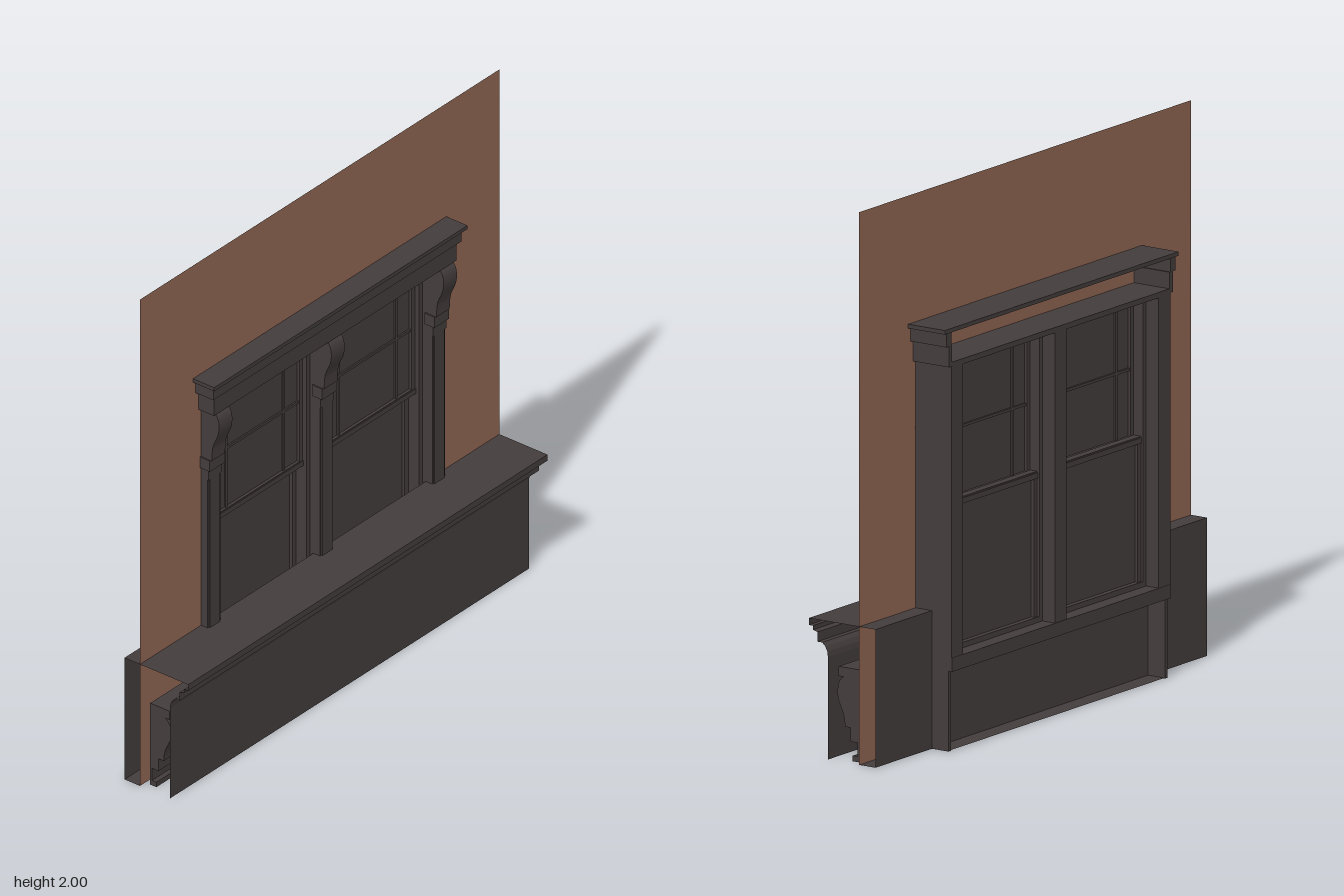
import * as THREE from 'three';

export function createModel() {
  const root = new THREE.Group();
  const trim = new THREE.MeshStandardMaterial({ name: 'dark trim', color: 0x443c3c, side: THREE.DoubleSide });
  const plaster = new THREE.MeshStandardMaterial({ name: 'brown wall', color: 0x906653, side: THREE.DoubleSide });

  const add = (name, geo, mat = trim) => {
    const m = new THREE.Mesh(geo, mat);
    m.name = name;
    root.add(m);
    return m;
  };
  // Box given by its limits on each axis
  const box = (name, x0, x1, y0, y1, z0, z1) =>
    add(name, new THREE.BoxGeometry(x1 - x0, y1 - y0, z1 - z0))
      .position.set((x0 + x1) / 2, (y0 + y1) / 2, (z0 + z1) / 2);
  // Solid side profile of [z, y] points, run along x
  const profile = (name, shape, x0, x1) => {
    const geo = new THREE.ExtrudeGeometry(shape, { depth: x1 - x0, bevelEnabled: false, curveSegments: 10 });
    geo.rotateY(-Math.PI / 2);
    geo.scale(1, 1, 1);
    // rotateY(-90) sends shape x to +z and depth to -x
    geo.translate(x1, 0, 0);
    return add(name, geo);
  };

  // Wall sheet with the window opening
  const wall = new THREE.Shape([[-1, 0], [1, 0], [1, 2], [-1, 2]].map(p => new THREE.Vector2(...p)));
  wall.holes.push(new THREE.Path([[-0.62, 0.32], [-0.62, 1.4], [0.62, 1.4], [0.62, 0.32]].map(p => new THREE.Vector2(...p))));
  add('wall', new THREE.ShapeGeometry(wall), plaster).position.z = -0.03;

  // Open-ended wainscot sheet: front panel, cove, stepped moulding, sill top, back panel
  const run = [[0.105, 0], [0.105, 0.37], [0.108, 0.39], [0.116, 0.407], [0.13, 0.42], [0.15, 0.42],
    [0.15, 0.455], [0.17, 0.46], [0.17, 0.475], [0.188, 0.475], [0.188, 0.5], [-0.03, 0.5]];
  const pos = [];
  for (let i = 0; i < run.length - 1; i++) {
    const [za, ya] = run[i], [zb, yb] = run[i + 1];
    pos.push(-1, ya, za, 1, ya, za, 1, yb, zb, -1, ya, za, 1, yb, zb, -1, yb, zb);
  }
  const sheet = new THREE.BufferGeometry();
  sheet.setAttribute('position', new THREE.Float32BufferAttribute(pos, 3));
  sheet.computeVertexNormals();
  add('wainscotFront', sheet);

  // Plain rectangular sheet facing back or up
  const plate = (name, w, h, x, y, z, flat) => {
    const geo = new THREE.PlaneGeometry(w, h);
    geo.rotateX(flat ? -Math.PI / 2 : Math.PI);
    add(name, geo).position.set(x, y, z);
  };
  for (const s of [-1, 1]) {
    plate('sillReturn', 0.34, 0.07, s * 0.83, 0.5, -0.065, true);
    plate('backPanel', 0.34, 0.5, s * 0.83, 0.25, -0.1, false);
    plate('backPanelFloor', 0.34, 0.07, s * 0.83, 0, -0.065, true);
  }
  plate('recessPanel', 1.32, 0.3, 0, 0.15, -0.1, false);
  plate('recessFloor', 1.32, 0.14, 0, 0.002, -0.1, true);

  // Lower box sides, window sill and head board
  for (const s of [-1, 1]) box('boxSide', s * 0.652 - 0.008, s * 0.652 + 0.008, 0, 0.29, -0.172, 0);
  box('windowSill', -0.66, 0.66, 0.29, 0.34, -0.186, 0.02);
  box('headBoard', -0.66, 0.66, 1.39, 1.41, -0.184, 0.01);

  // Posts with a scrolled bracket and a neck band
  const scroll = new THREE.Shape();
  scroll.moveTo(-0.02, 1.195);
  scroll.lineTo(0.02, 1.195);
  scroll.lineTo(0.022, 1.23);
  scroll.bezierCurveTo(0.024, 1.28, 0.05, 1.29, 0.053, 1.34);
  scroll.bezierCurveTo(0.054, 1.375, 0.045, 1.39, 0.028, 1.4);
  scroll.lineTo(-0.02, 1.4);
  for (const x of [-0.625, 0, 0.625]) {
    box('post', x - 0.035, x + 0.035, 0.34, 1.39, -0.184, 0);
    box('postFace', x - 0.028, x + 0.028, 0.34, 1.12, -0.01, 0.005);
    box('postTop', x - 0.037, x + 0.037, 1.11, 1.16, -0.02, 0.005);
    box('neckBand', x - 0.041, x + 0.041, 1.15, 1.195, -0.03, 0.014);
    profile('bracket', scroll, x - 0.037, x + 0.037);
  }

  // Entablature, hollow at the back
  box('fascia', -0.675, 0.675, 1.395, 1.47, 0.005, 0.04);
  box('frieze', -0.69, 0.69, 1.47, 1.52, 0.005, 0.05);
  box('cornice', -0.705, 0.705, 1.52, 1.535, -0.188, 0.066);
  for (const s of [-1, 1]) {
    box('fasciaEnd', s * 0.665 - 0.01, s * 0.665 + 0.01, 1.395, 1.47, -0.184, 0.01);
    box('friezeEnd', s * 0.675 - 0.015, s * 0.675 + 0.015, 1.47, 1.52, -0.184, 0.01);
  }

  // Rectangular frame round an opening
  const frame = (name, x0, x1, y0, y1, t, z0, z1) => {
    box(name, x0, x0 + t, y0, y1, z0, z1);
    box(name, x1 - t, x1, y0, y1, z0, z1);
    box(name, x0 + t, x1 - t, y0, y0 + t, z0, z1);
    box(name, x0 + t, x1 - t, y1 - t, y1, z0, z1);
  };

  // Two double-hung windows
  for (const s of [-1, 1]) {
    const c = s * 0.3125, x0 = c - 0.257, x1 = c + 0.257;
    frame('jamb', c - 0.279, c + 0.279, 0.34, 1.4, 0.02, -0.13, -0.045);
    frame('upperSash', x0, x1, 0.865, 1.385, 0.018, -0.09, -0.062);
    box('upperGlass', x0, x1, 0.87, 1.38, -0.079, -0.073);
    for (const k of [-1, 1]) box('muntin', c + k * 0.16 - 0.005, c + k * 0.16 + 0.005, 0.88, 1.37, -0.086, -0.067);
    box('crossMuntin', x0, x1, 1.12, 1.13, -0.086, -0.067);
    frame('lowerSash', x0, x1, 0.34, 0.885, 0.02, -0.122, -0.092);
    box('meetingRail', x0, x1, 0.86, 0.88, -0.125, -0.058);
    box('lowerGlass', x0, x1, 0.35, 0.87, -0.11, -0.104);
  }

  // Inner wainscot with shelf and brackets, seen through the open ends
  box('innerPanel', -0.97, 0.97, 0.02, 0.335, -0.008, 0);
  box('innerShelf', -0.97, 0.97, 0.3, 0.335, 0, 0.08);
  box('innerBase', -0.97, 0.97, 0, 0.02, -0.008, 0.02);
  const console_ = new THREE.Shape();
  console_.moveTo(0, 0.07);
  console_.lineTo(0.03, 0.07);
  console_.lineTo(0.03, 0.12);
  console_.lineTo(0.053, 0.12);
  console_.bezierCurveTo(0.055, 0.19, 0.084, 0.19, 0.085, 0.24);
  console_.bezierCurveTo(0.085, 0.28, 0.075, 0.29, 0.06, 0.3);
  console_.lineTo(0, 0.3);
  for (const x of [-0.935, -0.625, 0, 0.625, 0.935]) profile('innerBracket', console_, x - 0.035, x + 0.035);

  return root;
}
